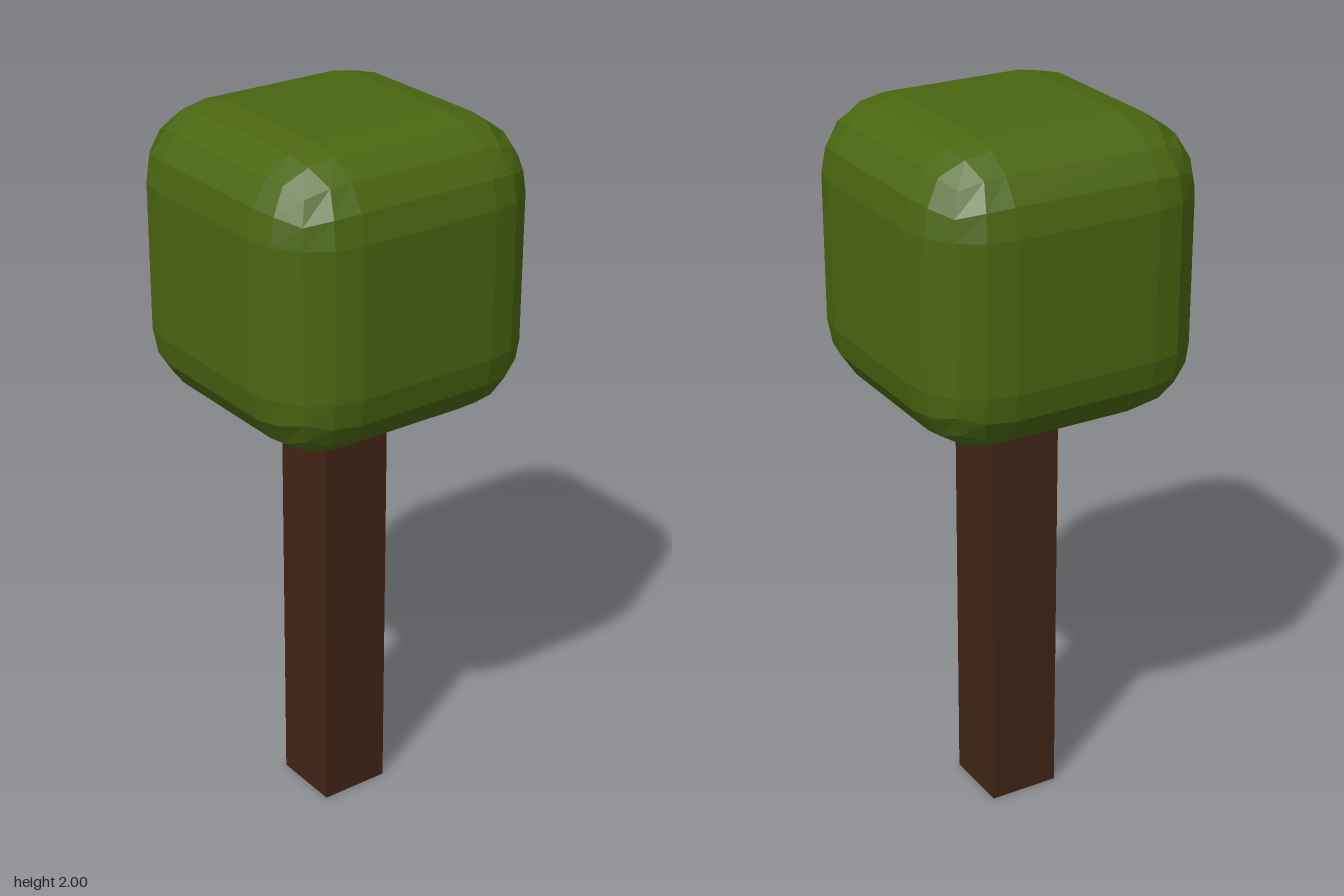
import * as THREE from 'three';

const HALF = 0.4, RADIUS = 0.2, TRUNK = 0.1, CROWN_BASE = 1.2;

// Cube with edges rounded in equal angular steps, its underside tapering to the trunk
function crownGeometry() {
  const geometry = new THREE.BoxGeometry(1, 1, 1, 5, 5, 5);
  const p = geometry.attributes.position;
  const v = new THREE.Vector3(), core = new THREE.Vector3();
  const bend = (c) => Math.sign(c) * Math.tan(Math.round((Math.abs(c) - 0.1) / 0.2) * Math.PI / 8);
  for (let i = 0; i < p.count; i++) {
    v.fromBufferAttribute(p, i);
    core.set(Math.sign(v.x), Math.sign(v.y), Math.sign(v.z)).multiplyScalar(HALF - RADIUS);
    const underside = v.y < -0.45 && Math.abs(v.x) < 0.15 && Math.abs(v.z) < 0.15;
    if (underside) {
      core.x = Math.sign(v.x) * TRUNK;
      core.z = Math.sign(v.z) * TRUNK;
    }
    v.set(bend(v.x), bend(v.y), bend(v.z)).normalize().multiplyScalar(RADIUS).add(core);
    p.setXYZ(i, v.x, v.y, v.z);
  }
  geometry.computeVertexNormals();
  return geometry;
}

export function createModel() {
  const tree = new THREE.Group();
  tree.name = 'tree';

  // Leafy crown
  const crown = new THREE.Mesh(
    crownGeometry(),
    new THREE.MeshStandardMaterial({ color: 0x4a6611, flatShading: true })
  );
  crown.name = 'crown';
  crown.position.y = CROWN_BASE + HALF;

  // Square trunk
  const trunk = new THREE.Mesh(
    new THREE.BoxGeometry(TRUNK * 2, CROWN_BASE, TRUNK * 2),
    new THREE.MeshStandardMaterial({ color: 0x402515, flatShading: true })
  );
  trunk.name = 'trunk';
  trunk.position.y = CROWN_BASE / 2;

  tree.add(crown, trunk);
  return tree;
}
